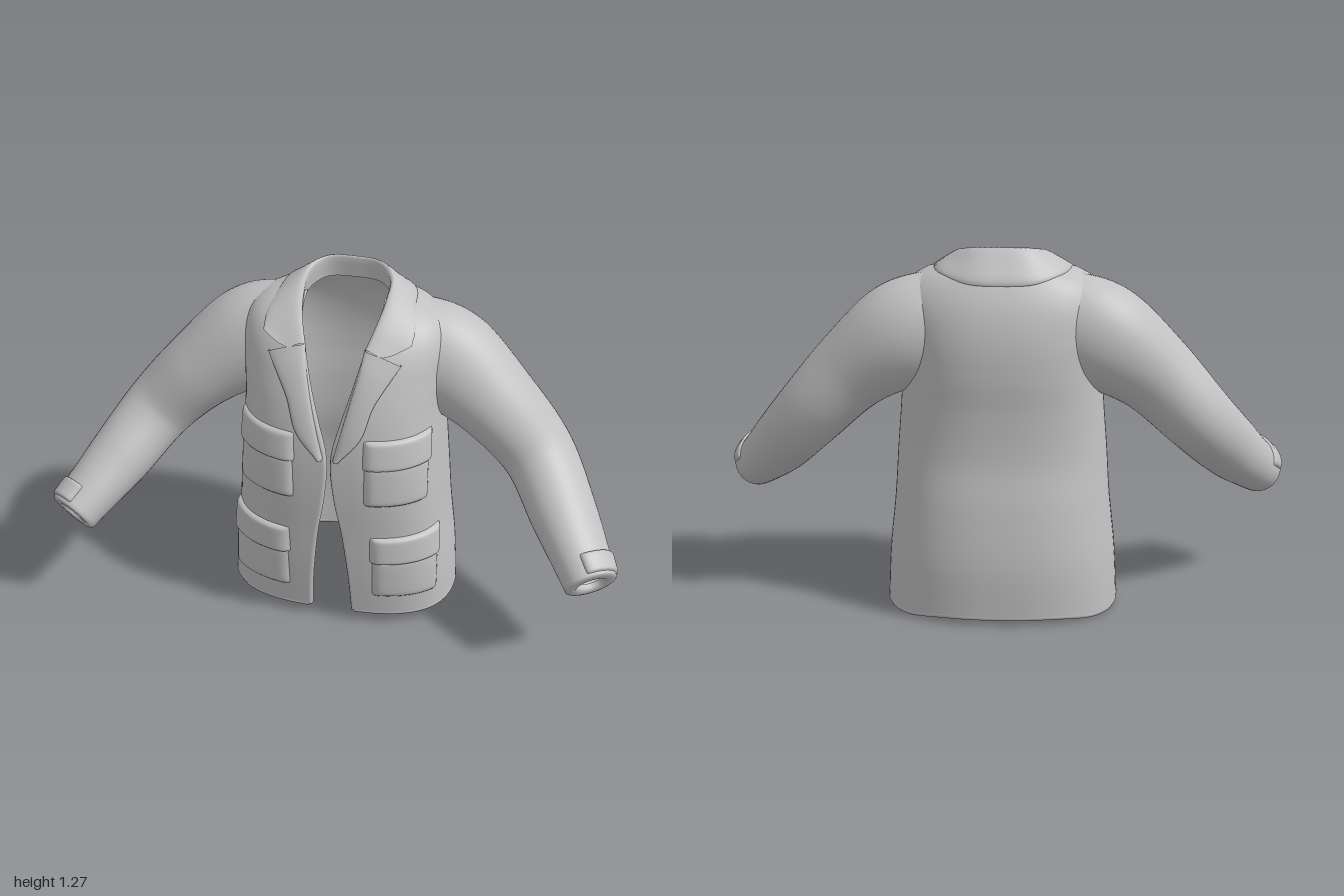
import * as THREE from 'three';
import { mergeVertices } from 'three/addons/utils/BufferGeometryUtils.js';

const cloth = new THREE.MeshStandardMaterial({ color: 0xc2c2c2, side: THREE.DoubleSide });
cloth.name = 'grey cloth';

// Smooth surface from a rule f(u, v) -> Vector3, with u and v in 0..1
function surface(name, f, nu, nv) {
  const pos = [], idx = [];
  for (let i = 0; i <= nu; i++) {
    for (let j = 0; j <= nv; j++) {
      pos.push(...f(i / nu, j / nv).toArray());
      if (i < nu && j < nv) {
        const a = i * (nv + 1) + j, b = a + nv + 1;
        idx.push(a, b, a + 1, b, b + 1, a + 1);
      }
    }
  }
  let g = new THREE.BufferGeometry();
  g.setAttribute('position', new THREE.Float32BufferAttribute(pos, 3));
  g.setIndex(idx);
  g = mergeVertices(g, 1e-5);
  g.computeVertexNormals();
  const mesh = new THREE.Mesh(g, cloth);
  mesh.name = name;
  return mesh;
}

// Smooth surface through rows of points
function loft(name, rows, nu, nv) {
  const cols = rows[0].map((_, j) => new THREE.CatmullRomCurve3(rows.map(r => r[j])));
  return surface(name, (u, v) =>
    new THREE.CatmullRomCurve3(cols.map(c => c.getPoint(u))).getPoint(v), nu, nv);
}

function tube(name, points, radius) {
  const curve = new THREE.CatmullRomCurve3(points);
  const mesh = new THREE.Mesh(new THREE.TubeGeometry(curve, points.length * 2, radius, 8), cloth);
  mesh.name = name;
  return mesh;
}

const V = (x, y, z) => new THREE.Vector3(x, y, z);
const smooth = THREE.MathUtils.smoothstep;
const table = (keys, rows) => {
  const n = rows[0].length;
  const it = new THREE.CubicInterpolant(keys, rows.flat(), n, new Float32Array(n));
  return t => [...it.evaluate(t)];
};

// Body profile by height: half width, front z, back z, half opening, front roundness
const HEM = 0.014, TOP = 1.2, THICK = 0.025, BACK = 0.84, ZC = -0.06;
const profile = table(
  [0, 0.2, 0.4, 0.55, 0.72, 0.85, 0.97, 1.08, 1.14, 1.18, 1.2],
  [[0.4, 0.205, -0.345, 0.085, 0.7], [0.39, 0.225, -0.35, 0.075, 0.7],
    [0.37, 0.24, -0.33, 0.055, 0.7], [0.36, 0.25, -0.305, 0.03, 0.7],
    [0.347, 0.25, -0.303, 0.02, 0.7], [0.34, 0.235, -0.312, 0.05, 0.72],
    [0.345, 0.203, -0.308, 0.085, 0.77], [0.345, 0.155, -0.283, 0.115, 0.82],
    [0.315, 0.105, -0.255, 0.135, 0.82], [0.255, 0.05, -0.23, 0.145, 0.82],
    [0.19, 0, -0.212, 0.15, 0.82]]);
const pw = (v, p) => Math.sign(v) * Math.abs(v) ** p;
const angleAt = (x, y) => {
  const [w, , , , p] = profile(y);
  return Math.asin(Math.min(1, (x / w) ** (1 / p)));
};
const edgeAngle = y => angleAt(profile(y)[3], y);

// Point on the body; angle 0 is the front, lift moves it outward
function body(a, y, lift = 0) {
  const [w, zf, zb, , pf] = profile(y), c = Math.cos(a), s = Math.sin(a);
  const p = c > 0 ? pf : BACK;
  const z = ZC + pw(c, p) * (c > 0 ? zf - ZC : ZC - zb);
  const rise = 0.035 * smooth(z, -0.2, 0.12) + 0.015 * smooth(-z, 0.25, 0.34);
  return V(w * pw(s, p) + s * lift, y + rise * Math.max(0, 1 - y / 0.3), z + c * lift);
}
const frontZ = (x, y) => body(angleAt(x, y), y).z;

// Moves a point from inside the body into the thickness of its cloth
function pushOut(pt) {
  const [w, zf, zb, , pf] = profile(pt.y), dz = pt.z - ZC;
  const depth = dz > 0 ? zf - ZC : ZC - zb, p = dz > 0 ? pf : BACK;
  const r = (Math.abs(pt.x / w) ** (2 / p) + Math.abs(dz / depth) ** (2 / p)) ** (p / 2);
  const k = Math.max(1, 0.965 / r);
  return pt.set(pt.x * k, pt.y, ZC + dz * k);
}

// Sleeve: centre, radius upward, radius in depth
const ARM = [[0.2, 1.0, -0.1, 0.183, 0.14], [0.34, 0.952, -0.1, 0.184, 0.16],
  [0.51, 0.828, -0.072, 0.145, 0.148], [0.67, 0.66, -0.04, 0.124, 0.135],
  [0.785, 0.52, 0.1, 0.112, 0.126], [0.865, 0.43, 0.216, 0.096, 0.112],
  [0.914, 0.378, 0.292, 0.088, 0.097]];
const armAt = table(ARM.map((_, i) => i), ARM);
function arm(t, phi, lift) {
  const [x, y, z, rv, rd] = armAt(t);
  const t0 = Math.max(0, t - 0.15), t1 = Math.min(6, t + 0.15);
  const T = V(...armAt(t1)).sub(V(...armAt(t0))).normalize();
  const D = V(0, 0, 1).addScaledVector(T, -T.z).normalize();
  const U = V(0, 0, 0).crossVectors(D, T).normalize();
  return pushOut(V(x, y, z).addScaledVector(U, Math.cos(phi) * (rv + lift))
    .addScaledVector(D, Math.sin(phi) * (rd + lift)));
}

// Raised pad profile: flat in the middle, dropping sharply at its border
const pad = (u, v, h) =>
  (h + 0.012) * (1 - Math.abs(2 * u - 1) ** 14) * (1 - Math.abs(2 * v - 1) ** 12) - 0.012;
const flip = (p, s) => p.setX(p.x * s);

export function createModel() {
  const jacket = new THREE.Group();
  jacket.name = 'jacket';

  // Outer cloth and lining
  for (const [name, inset] of [['body', 0], ['lining', -THICK]]) {
    jacket.add(surface(name, (u, v) => {
      const y = HEM + (TOP - HEM) * v, a0 = edgeAngle(y);
      return body(a0 + (2 * Math.PI - 2 * a0) * u, y, inset);
    }, 80, 56));
  }

  // Rounded hem
  const a0 = edgeAngle(HEM), hem = [];
  for (let i = 0; i <= 48; i++) {
    hem.push(body(a0 + (2 * Math.PI - 2 * a0) * i / 48, HEM, -THICK / 2));
  }
  jacket.add(tube('hem', hem, 0.0135));

  // Collar: fold, middle and outer edge of each station from back to front
  const station = ([f, m, o]) => [
    V(f[0] * 1.03, f[1] - 0.085, f[2] * 1.04), V(...f), V(...m), V(...o),
    V(o[0] * 0.95, o[1] - 0.012, o[2] * 0.94)];
  const half = [
    [[0, 1.27, -0.172], [0, 1.22, -0.213], [0, 1.158, -0.25]],
    [[0.09, 1.267, -0.16], [0.112, 1.222, -0.198], [0.12, 1.163, -0.236]],
    [[0.138, 1.25, -0.1], [0.182, 1.226, -0.12], [0.21, 1.184, -0.165]],
    [[0.142, 1.215, -0.005], [0.19, 1.207, -0.01], [0.238, 1.18, -0.03]],
    [[0.127, 1.165, 0.075], [0.182, 1.155, 0.08], [0.252, 1.147, 0.05]],
    [[0.102, 1.1, 0.142], [0.165, 1.085, 0.15], [0.25, 1.115, 0.105]]].map(station);
  const mirrored = half.slice(1).reverse().map(r => r.map(p => flip(p.clone(), -1)));
  jacket.add(loft('collar', [...mirrored, ...half], 50, 16));

  // Lapel stations: fold x, y, middle x, y, outer x, y
  const lapelRows = [[0.102, 1.1, 0.165, 1.085, 0.225, 1.058],
    [0.092, 1.04, 0.14, 1.02, 0.19, 1.005], [0.07, 0.94, 0.108, 0.93, 0.147, 0.93],
    [0.046, 0.84, 0.078, 0.825, 0.11, 0.815], [0.018, 0.725, 0.026, 0.72, 0.036, 0.72]];
  // Pockets: x from, x to, y from, y to, bulge
  const pockets = [['chestPocket', 0.115, 0.322, 0.54, 0.72, 0.016],
    ['chestFlap', 0.11, 0.325, 0.69, 0.81, 0.018],
    ['hipPocket', 0.14, 0.36, 0.103, 0.31, 0.014],
    ['hipFlap', 0.134, 0.358, 0.285, 0.405, 0.022]];

  for (const [side, s] of [['left', 1], ['right', -1]]) {
    const g = new THREE.Group();
    g.name = side + 'Side';
    jacket.add(g);

    // Rounded front edge
    const edge = [];
    for (let i = 0; i <= 24; i++) {
      const y = HEM + (1.1 - HEM) * i / 24;
      edge.push(flip(body(edgeAngle(y), y, -THICK / 2), s));
    }
    g.add(tube('frontEdge', edge, 0.0135));

    g.add(loft('lapel', lapelRows.map(([fx, fy, mx, my, ox, oy]) => [
      V(fx + 0.005, fy, frontZ(fx, fy) - 0.03), V(fx, fy, frontZ(fx, fy) + 0.006),
      V(mx, my, frontZ(mx, my) + 0.016), V(ox, oy, frontZ(ox, oy) + 0.012),
      V(ox - 0.01, oy, frontZ(ox, oy) - 0.006)].map(p => flip(p, s))), 24, 16));

    for (const [name, x0, x1, y0, y1, h] of pockets) {
      g.add(surface(name, (u, v) => {
        const y = y0 + (y1 - y0) * v, b0 = angleAt(x0, y), b1 = angleAt(x1, y);
        // Fuller toward the lower edge
        return flip(body(b0 + (b1 - b0) * u, y, pad(u, v, h * (1.15 - 0.4 * v))), s);
      }, 28, 24));
    }

    // Sleeve flowing out of the shoulder, with a rolled-in cuff
    const rings = [];
    for (let i = 0; i < 48; i++) rings.push([5.94 * i / 47, 0]);
    rings.push([5.98, -0.005], [6, -0.015], [6, -0.035], [5.9, -0.045], [5.75, -0.047]);
    g.add(surface('sleeve', (u, v) => {
      const [t, lift] = rings[Math.round(u * (rings.length - 1))];
      return flip(arm(t, (v % 1) * 2 * Math.PI, lift), s);
    }, rings.length - 1, 40));

    // Cuff strap
    g.add(surface('cuffStrap', (u, v) =>
      flip(arm(5.1 + 0.8 * u, -0.9 + 2 * v, pad(u, v, 0.009)), s), 16, 20));
  }
  return jacket;
}
